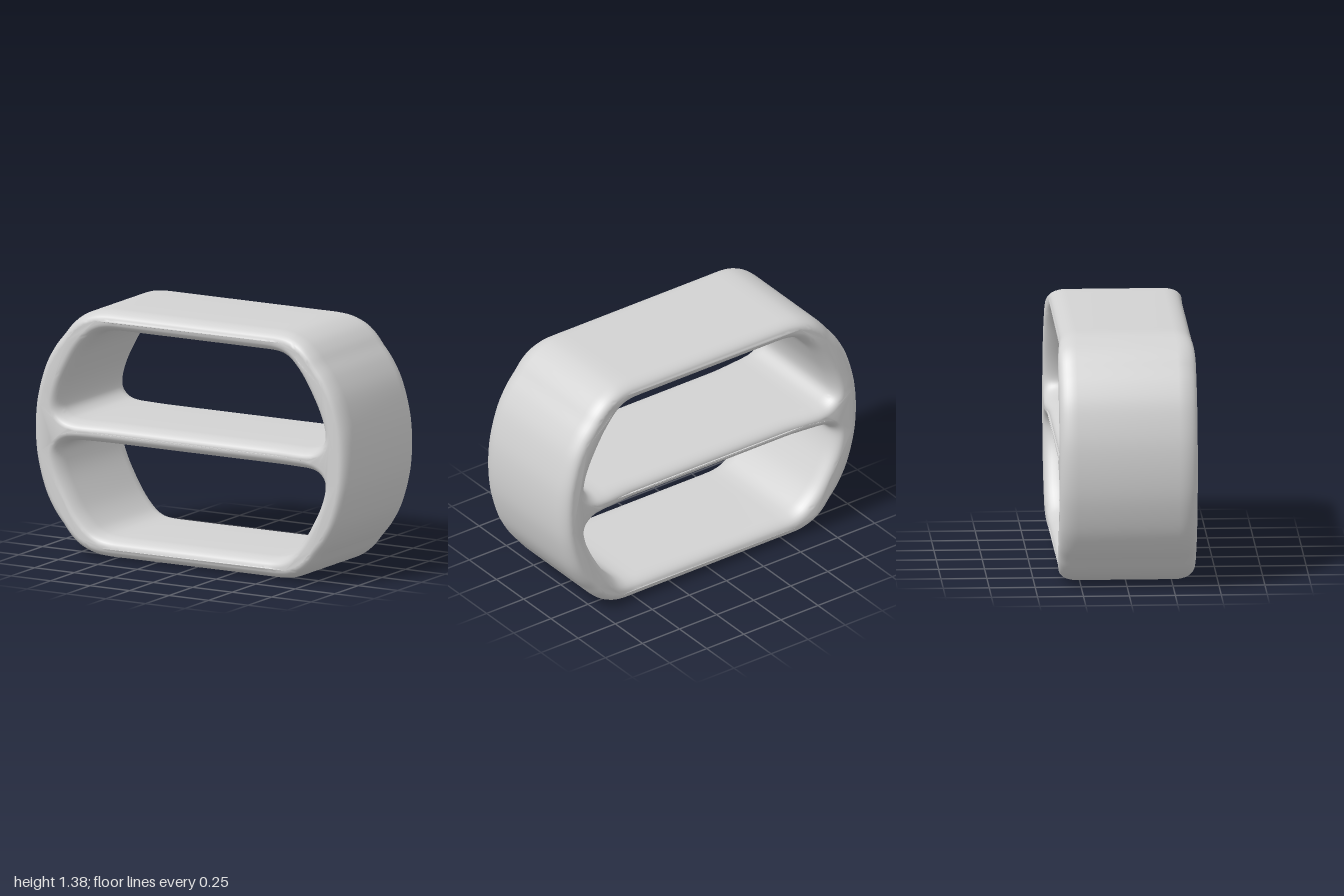
import * as THREE from 'three';
import { toCreasedNormals } from 'three/addons/utils/BufferGeometryUtils.js';

const CENTER_Y = 0.688;
const HALF_DEPTH = 0.375;

// Closed outline from a spline through its right half, mirrored to the left.
function mirroredOutline(points, steps) {
  const curve = new THREE.SplineCurve(points.map(([x, y]) => new THREE.Vector2(x, y)));
  const right = curve.getPoints(steps);
  const left = right.map((p) => new THREE.Vector2(-p.x, p.y)).reverse();
  return [...right, ...left];
}

const flip = (points) => points.map(([x, y]) => [x, -y]).reverse();

export function createModel() {
  const group = new THREE.Group();
  group.name = 'strapSlider';

  const grey = new THREE.MeshStandardMaterial({ color: 0xd2d2d2 });
  grey.name = 'light grey';

  // Outer rim, upper right quarter, then mirrored downwards
  const quarter = [
    [0.45, 0.688], [0.55, 0.687], [0.63, 0.675], [0.71, 0.64], [0.77, 0.59], [0.815, 0.535],
    [0.875, 0.46], [0.935, 0.35], [0.98, 0.2], [0.998, 0.07],
  ];
  const shape = new THREE.Shape(mirroredOutline([...quarter, ...flip(quarter)], 76));

  // Slots above and below the centre bar, both wound counter-clockwise
  const slot = [
    [0.45, 0.057], [0.56, 0.057], [0.66, 0.057], [0.73, 0.059], [0.785, 0.07], [0.825, 0.102],
    [0.835, 0.15], [0.815, 0.232], [0.772, 0.327], [0.705, 0.442], [0.635, 0.522], [0.58, 0.557],
    [0.52, 0.57], [0.45, 0.573],
  ];
  for (const outline of [slot, flip(slot)]) {
    shape.holes.push(new THREE.Path(mirroredOutline(outline, 65)));
  }

  // Rounded body
  const round = 0.1;
  let geometry = new THREE.ExtrudeGeometry(shape, {
    depth: 2 * (HALF_DEPTH - round),
    bevelThickness: round,
    bevelSize: 0.053,
    bevelOffset: -0.053,
    bevelSegments: 8,
    steps: 1,
  });
  geometry.translate(0, 0, -(HALF_DEPTH - round));

  // The three bars are slightly shallower than the side walls
  const pos = geometry.attributes.position;
  for (let i = 0; i < pos.count; i++) {
    const t = THREE.MathUtils.smoothstep(Math.abs(pos.getX(i)), 0.5, 0.76);
    pos.setZ(i, pos.getZ(i) * THREE.MathUtils.lerp(0.95, 1, t));
  }
  geometry.deleteAttribute('uv');
  geometry = toCreasedNormals(geometry, 0.9);

  const body = new THREE.Mesh(geometry, grey);
  body.name = 'frameWithCentreBar';
  body.position.y = CENTER_Y;
  group.add(body);
  return group;
}
